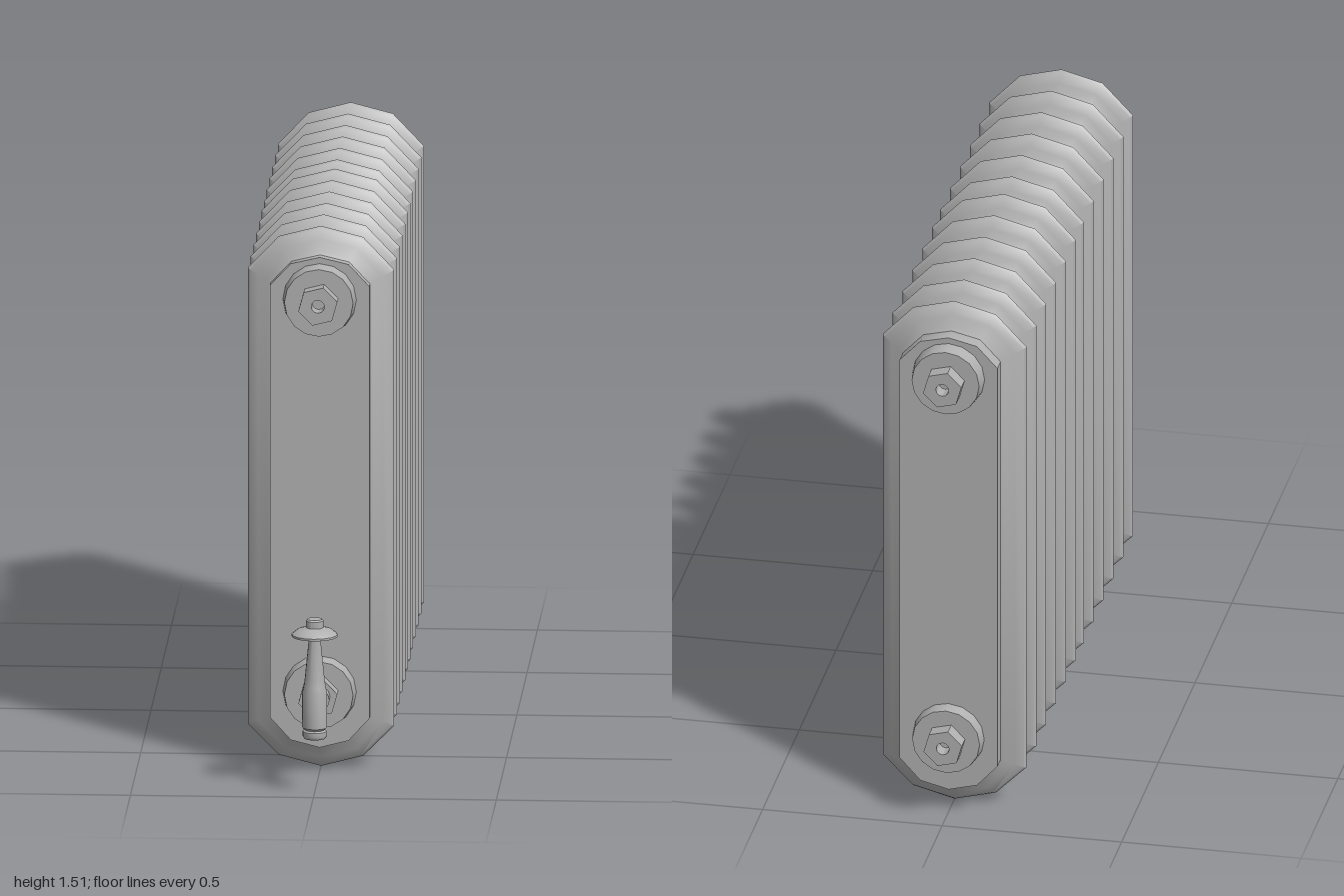
import * as THREE from 'three';
import { toCreasedNormals } from 'three/addons/utils/BufferGeometryUtils.js';

const iron = new THREE.MeshStandardMaterial({ color: 0xb0b0b0 });
iron.name = 'cast iron grey';

// Half outline of a section (bottom to top, +x side) at a ridge and in a valley
const RIDGE = [[0, 0.005], [0.115, 0.035], [0.2, 0.12], [0.2, 1.4], [0.115, 1.49], [0, 1.52]];
const VALLEY = [[0, 0.09], [0.07, 0.108], [0.12, 0.165], [0.12, 1.36], [0.07, 1.414], [0, 1.43]];

// Outline at inset d: 0 = ridge, 1 = valley; counter-clockwise seen from +z
function outline(d) {
  const half = RIDGE.map(([x, y], i) => [
    THREE.MathUtils.lerp(x, VALLEY[i][0], d),
    THREE.MathUtils.lerp(y, VALLEY[i][1], d),
  ]);
  return [...half, ...half.slice(1, -1).reverse().map(([x, y]) => [-x, y])];
}

// Stations [z, inset] from back to front: two banks of six ridges
function stations() {
  const slope = [[0.008, 0.07], [0.02, 0.36], [0.035, 0.7], [0.05, 0.92]];
  const ridges = [];
  for (let i = 0; i < 6; i++) ridges.push(-0.829 + i * 0.1344);
  for (let i = 0; i < 6; i++) ridges.push(-0.047 + i * 0.1344);
  const list = [[-0.912, 0.8], [-0.869, 0.8]];
  ridges.forEach((z, i) => {
    const first = i === 0, last = i === 11;
    const back = first ? slope.slice(0, 3) : slope;
    const front = last ? slope.slice(0, 3) : slope;
    [...back].reverse().forEach(([t, d]) => list.push([z - t, d]));
    list.push([z, 0]);
    front.forEach(([t, d]) => list.push([z + t, d]));
    if (!last) list.push([(z + ridges[i + 1]) / 2, i === 5 ? 0.94 : 1]);
  });
  list.push([0.665, 0.8], [0.695, 0.8]);
  return list;
}

// Ribbed body lofted along z with flat ends
function bodyGeometry() {
  const list = stations();
  const pos = [], idx = [];
  const n = outline(0).length;
  list.forEach(([z, d]) => outline(d).forEach(([x, y]) => pos.push(x, y, z)));
  for (let i = 0; i < list.length - 1; i++) {
    for (let j = 0; j < n; j++) {
      const a = i * n + j, b = i * n + (j + 1) % n;
      idx.push(a, b, b + n, a, b + n, a + n);
    }
  }
  const end = (list.length - 1) * n;
  for (let j = 1; j < n - 1; j++) {
    idx.push(0, j + 1, j);
    idx.push(end, end + j, end + j + 1);
  }
  const geo = new THREE.BufferGeometry();
  geo.setAttribute('position', new THREE.Float32BufferAttribute(pos, 3));
  geo.setIndex(idx);
  return toCreasedNormals(geo, 0.6);
}

function add(parent, geo, name) {
  const mesh = new THREE.Mesh(geo, iron);
  mesh.name = name;
  parent.add(mesh);
  return mesh;
}

// Cylinder lying along z, from z0 to z1
function rod(r0, r1, z0, z1, sides) {
  return toCreasedNormals(
    new THREE.CylinderGeometry(r1, r0, z1 - z0, sides).rotateX(Math.PI / 2).translate(0, 0, (z0 + z1) / 2), 0.6);
}

// End plug: round flange and hexagonal nut with a small bore
function plug(name, y, z, facing) {
  const g = new THREE.Group();
  g.name = name;
  add(g, rod(0.102, 0.094, -0.01, 0.043, 16), 'flange');
  const hex = new THREE.Shape();
  for (let i = 0; i < 6; i++) {
    const a = (i * Math.PI) / 3 + 0.25;
    hex[i ? 'lineTo' : 'moveTo'](0.055 * Math.cos(a), 0.055 * Math.sin(a));
  }
  hex.closePath();
  hex.holes.push(new THREE.Path().absarc(0, 0, 0.018, 0, Math.PI * 2, true));
  const nut = new THREE.ExtrudeGeometry(hex, { depth: 0.045, bevelEnabled: false, curveSegments: 6 });
  add(g, nut.translate(0, 0, 0.042), 'hexNut');
  g.position.set(0, y, z);
  if (facing < 0) g.rotation.y = Math.PI;
  return g;
}

// Valve: union, feed pipe, turned body and handwheel
function valve() {
  const g = new THREE.Group();
  g.name = 'valve';
  add(g, rod(0.034, 0.034, 0.775, 0.82, 12), 'unionNut').position.y = 0.235;
  add(g, rod(0.016, 0.016, 0.81, 0.925, 12), 'feedPipe').position.y = 0.235;
  add(g, rod(0.016, 0.022, 0.88, 0.91, 12), 'pipeCollar').position.y = 0.235;
  const turned = (points, name) => {
    const geo = new THREE.LatheGeometry(points.map(([r, y]) => new THREE.Vector2(r, y)), 16);
    add(g, toCreasedNormals(geo, 0.6), name).position.z = 0.936;
  };
  turned([[0, 0.157], [0.029, 0.157], [0.033, 0.163], [0.033, 0.177], [0.027, 0.181],
    [0.034, 0.188], [0.034, 0.285], [0.03, 0.302], [0.027, 0.325], [0.016, 0.435], [0.016, 0.45]], 'valveBody');
  turned([[0, 0.443], [0.063, 0.443], [0.063, 0.449], [0.048, 0.461], [0.024, 0.468],
    [0.024, 0.487], [0.02, 0.491], [0, 0.491]], 'handwheel');
  return g;
}

export function createModel() {
  const model = new THREE.Group();
  model.name = 'radiator';
  add(model, bodyGeometry(), 'ribbedBody');
  model.add(
    plug('upperFrontPlug', 1.33, 0.695, 1),
    plug('lowerFrontPlug', 0.23, 0.695, 1),
    plug('upperBackPlug', 1.33, -0.912, -1),
    plug('lowerBackPlug', 0.235, -0.905, -1),
    valve(),
  );
  return model;
}
